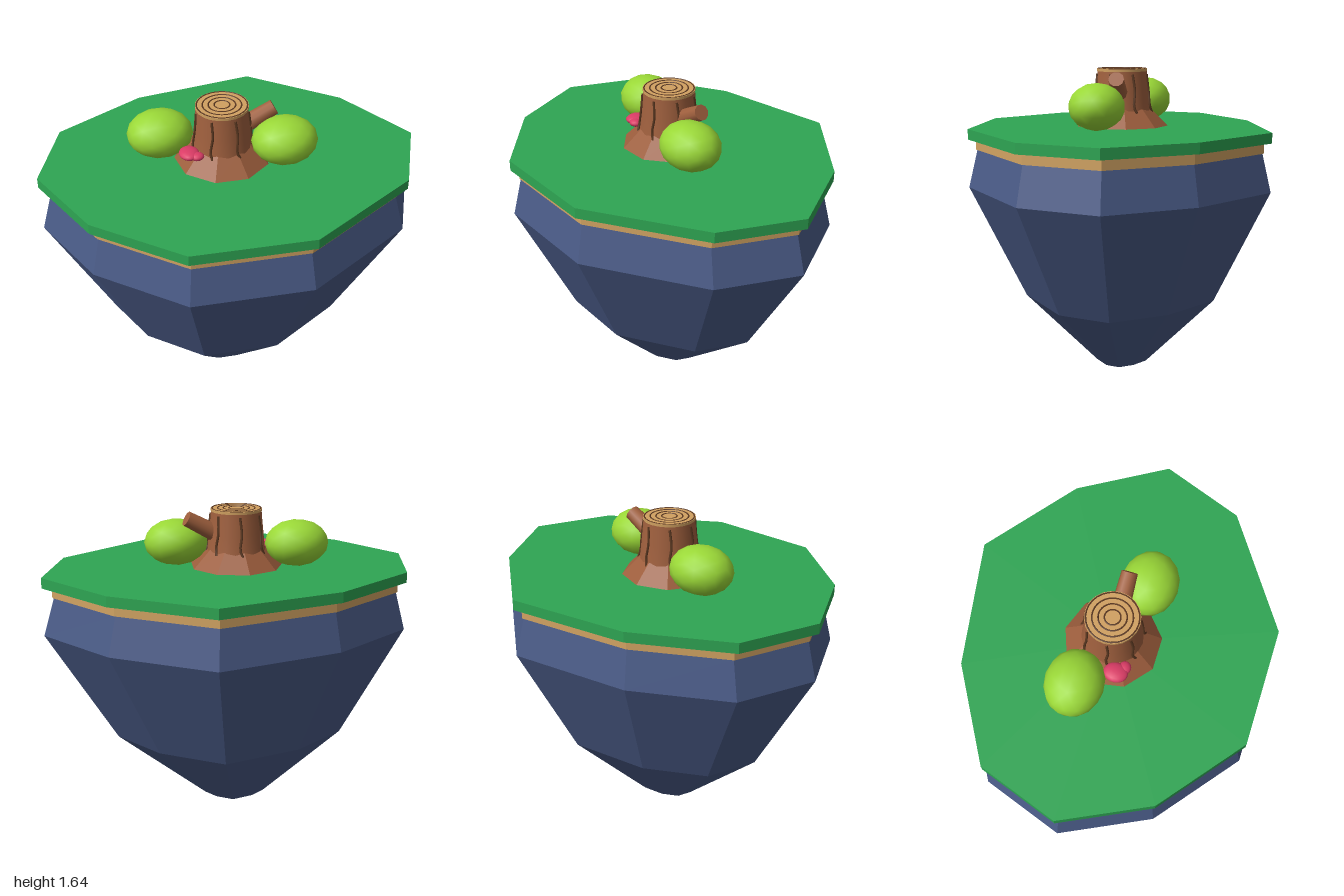
import * as THREE from 'three';

const mat = (name, color, flatShading = false) => {
  const m = new THREE.MeshStandardMaterial({ color, flatShading });
  m.name = name;
  return m;
};

// Uneven ten-sided island outline (x, z), scaled about the stump's axis
const OUTLINE = [
  [1, 0], [0.83, 0.42], [0.25, 0.79], [-0.37, 0.78], [-0.79, 0.44],
  [-1, 0], [-0.85, -0.42], [-0.38, -0.69], [0.28, -0.8], [0.74, -0.44],
];
const CX = -0.043;

// Closed loft through [height, scale] levels of the outline
function loft(levels) {
  const pos = [];
  const n = OUTLINE.length;
  const p = (i, [y, s]) => [CX + (OUTLINE[i % n][0] - CX) * s, y, OUTLINE[i % n][1] * s];
  const top = levels[levels.length - 1];
  const bottom = levels[0];
  for (let i = 0; i < n; i++) {
    for (let j = 0; j < levels.length - 1; j++) {
      const a = p(i, levels[j]), b = p(i + 1, levels[j]);
      const c = p(i, levels[j + 1]), d = p(i + 1, levels[j + 1]);
      pos.push(...a, ...c, ...b, ...b, ...c, ...d);
    }
    pos.push(CX, top[0], 0, ...p(i + 1, top), ...p(i, top));
    pos.push(CX, bottom[0], 0, ...p(i, bottom), ...p(i + 1, bottom));
  }
  const g = new THREE.BufferGeometry();
  g.setAttribute('position', new THREE.Float32BufferAttribute(pos, 3));
  g.computeVertexNormals();
  return g;
}

export function createModel() {
  const root = new THREE.Group();
  root.name = 'floatingIsland';
  const rock = mat('slate rock', 0x4a5b87, true);
  const sand = mat('sand', 0xd2a463, true);
  const grass = mat('grass green', 0x2ea553, true);
  const bark = mat('bark brown', 0xa0603e);
  const root9 = mat('root brown', 0x9c5d3c, true);
  const wood = mat('cut wood', 0xd0a060);
  const dark = mat('dark bark', 0x5e3a22);
  const leaf = mat('leaf green', 0x9ad837);
  const pink = mat('fungus pink', 0xdb3c66);

  const add = (name, geo, material, parent = root) => {
    const m = new THREE.Mesh(geo, material);
    m.name = name;
    parent.add(m);
    return m;
  };

  // Island layers
  add('rockBase', loft([[0, 0.175], [0.405, 0.645], [1.02, 1], [1.22, 0.942]]), rock);
  add('sandLayer', loft([[1.22, 0.95], [1.275, 0.95]]), sand);
  add('grassLayer', loft([[1.275, 1], [1.33, 1]]), grass);

  // Tree stump: flared nine-sided foot, round trunk, cut top
  const stump = new THREE.Group();
  stump.name = 'stump';
  stump.position.set(CX, 1.33, 0);
  root.add(stump);
  const foot = add('stumpFoot', new THREE.CylinderGeometry(0.155, 0.25, 0.095, 9), root9, stump);
  foot.position.y = 0.0475;
  foot.rotation.y = Math.PI;
  const profile = [[0.16, 0.06], [0.152, 0.11], [0.145, 0.18], [0.137, 0.26], [0.134, 0.3]];
  add('trunk', new THREE.LatheGeometry(profile.map(([r, y]) => new THREE.Vector2(r, y)), 20), bark, stump);
  add('cutTop', new THREE.CylinderGeometry(0.137, 0.137, 0.014, 20), wood, stump).position.y = 0.301;
  for (const r of [0.13, 0.1, 0.07, 0.04]) {
    const ring = add('growthRing', new THREE.TorusGeometry(r, 0.005, 5, 28), dark, stump);
    ring.rotation.x = Math.PI / 2;
    ring.position.y = 0.306;
  }

  // Bark ridges running down the trunk
  for (let i = 0; i < 7; i++) {
    const a = 0.3 + (i * Math.PI * 2) / 7;
    const at = (r, y, da) => new THREE.Vector3(Math.sin(a + da) * r, y, Math.cos(a + da) * r);
    const path = new THREE.CatmullRomCurve3([
      at(0.136, 0.28, 0), at(0.146, 0.19, 0.06), at(0.155, 0.11, 0), at(0.165, 0.075, 0.08),
    ]);
    add('barkRidge', new THREE.TubeGeometry(path, 8, 0.007, 5), dark, stump);
  }

  // Broken branch on the left side
  const from = new THREE.Vector3(0.02, 1.48, 0.005);
  const to = new THREE.Vector3(0.228, 1.594, 0.005);
  const dir = to.clone().sub(from);
  const branch = add('branch', new THREE.CylinderGeometry(0.041, 0.05, dir.length(), 10), bark);
  branch.position.copy(from).add(to).multiplyScalar(0.5);
  branch.quaternion.setFromUnitVectors(new THREE.Vector3(0, 1, 0), dir.normalize());

  // Bushes and bracket fungus as squashed balls
  const blob = (name, material, pos, size) => {
    const m = add(name, new THREE.IcosahedronGeometry(1, 2), material);
    m.position.set(...pos);
    m.scale.set(...size);
  };
  blob('leftBush', leaf, [0.262, 1.453, 0.103], [0.173, 0.124, 0.148]);
  blob('rightBush', leaf, [-0.35, 1.453, -0.1], [0.173, 0.124, 0.148]);
  blob('fungus', pink, [-0.23, 1.42, 0.073], [0.053, 0.024, 0.062]);
  blob('smallFungus', pink, [-0.195, 1.418, 0.108], [0.036, 0.02, 0.032]);

  return root;
}
